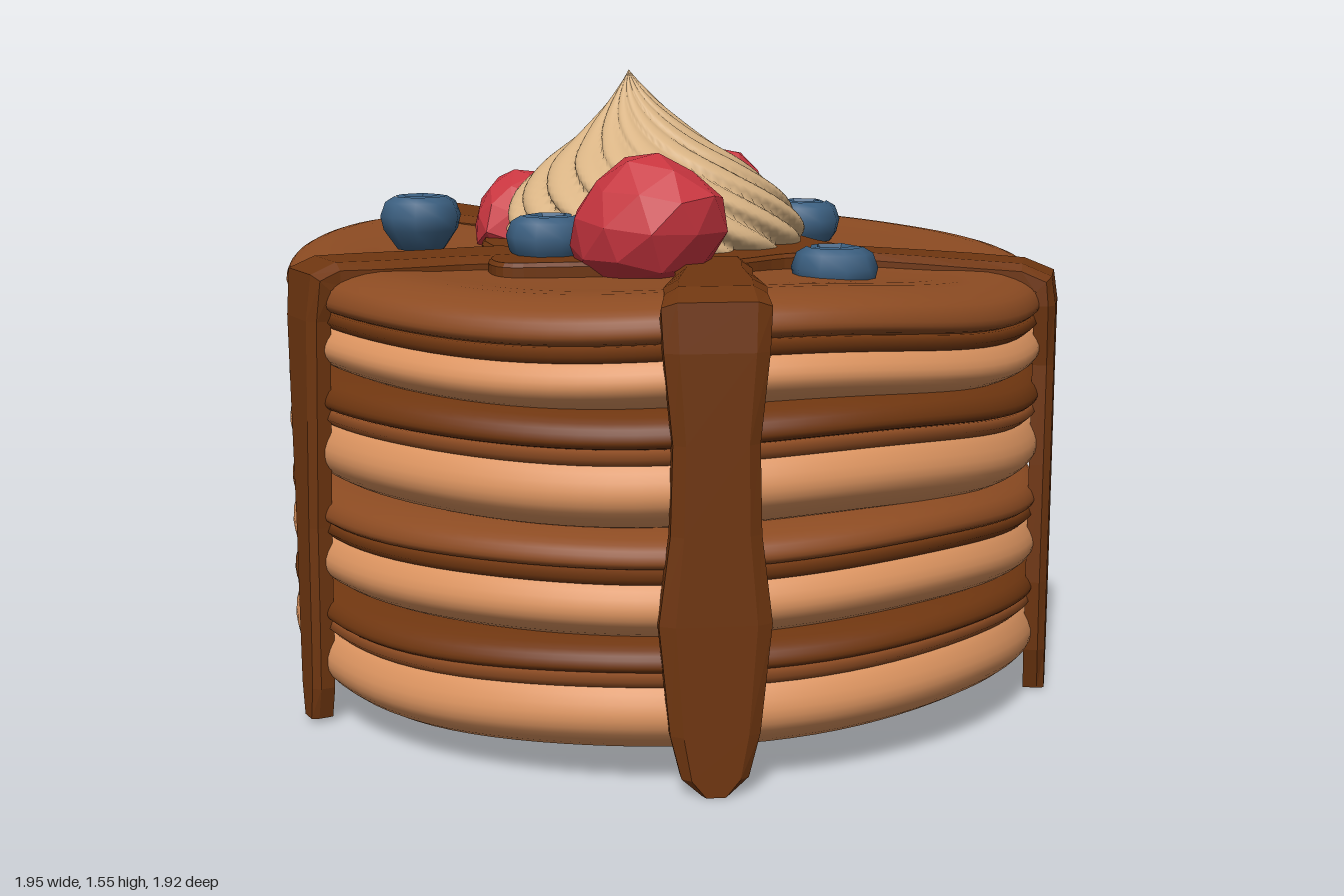
import * as THREE from 'three';
import { mergeVertices } from 'three/addons/utils/BufferGeometryUtils.js';

const material = (name, color) => {
  const m = new THREE.MeshStandardMaterial({ color });
  m.name = name;
  return m;
};
const V2 = (x, y) => new THREE.Vector2(x, y);
const CX = 0.015, CZ = 0.01; // axis of the stack

// Gentle height waves that grow towards the rim of each pancake
function wave(x, z, level) {
  const a = Math.atan2(x, z), r = Math.min(1, Math.hypot(x, z) / 0.96);
  return r * r * (0.016 * Math.sin(3 * a - 1.7 + level * 0.25) + 0.008 * Math.sin(5 * a + level)
    - 0.022 * (level / 3) * Math.sin(a));
}

// Moves every vertex by a rule, then rebuilds normals (smooth or faceted)
function deform(geometry, rule, smooth = true) {
  let g = geometry;
  g.deleteAttribute('uv');
  if (smooth) {
    g.deleteAttribute('normal');
    g = mergeVertices(g, 1e-4);
  } else if (g.index) g = g.toNonIndexed();
  const p = g.attributes.position, v = new THREE.Vector3();
  for (let i = 0; i < p.count; i++) {
    rule(v.fromBufferAttribute(p, i));
    p.setXYZ(i, v.x, v.y, v.z);
  }
  g.computeVertexNormals();
  return g;
}

function ring(points, level) {
  return deform(new THREE.LatheGeometry(points.map(([r, y]) => V2(r, y)), 96), v => {
    v.y += wave(v.x, v.z, level);
    v.x += CX;
    v.z += CZ;
  });
}

// Solid ribbon running over the top, bending at the rim and hanging down
function dripGeometry(start, end, topWidths, hang) {
  const out = new THREE.Vector3(end[0] - CX, 0, end[1] - CZ).normalize();
  const side = new THREE.Vector3(out.z, 0, -out.x);
  const up = new THREE.Vector3(0, 1, 0);
  const rim = [CX + out.x * 0.955, CZ + out.z * 0.955];
  const stations = [];
  for (let i = 0; i <= 5; i++) {
    const t = i / 5 * 0.93;
    const x = start[0] + (rim[0] - start[0]) * t, z = start[1] + (rim[1] - start[1]) * t;
    const w = topWidths[0] + (topWidths[1] - topWidths[0]) * t + 0.012 * Math.sin(i * 2.1);
    stations.push([new THREE.Vector3(x, 1.095 + wave(x - CX, z - CZ, 3), z), up, w]);
  }
  const edge = wave(out.x * 0.96, out.z * 0.96, 3);
  stations.push([new THREE.Vector3(rim[0], 1.08 + edge, rim[1]), up.clone().add(out).normalize(), topWidths[1]]);
  for (const [y, w] of hang) stations.push([new THREE.Vector3(rim[0], y, rim[1]), out, w]);

  const section = [[-0.5, -0.015], [-0.5, 0.02], [-0.36, 0.037], [0.36, 0.037], [0.5, 0.02], [0.5, -0.015]];
  const n = section.length, pos = [], idx = [];
  for (const [c, normal, w] of stations)
    for (const [s, h] of section) {
      const p = c.clone().addScaledVector(side, s * w).addScaledVector(normal, h);
      pos.push(p.x, p.y, p.z);
    }
  for (let i = 0; i < stations.length - 1; i++)
    for (let j = 0; j < n; j++) {
      const a = i * n + j, b = i * n + (j + 1) % n;
      idx.push(a, a + n, b, b, a + n, b + n);
    }
  const last = (stations.length - 1) * n;
  for (let j = 1; j < n - 1; j++) idx.push(0, j, j + 1, last, last + j + 1, last + j);
  const g = new THREE.BufferGeometry();
  g.setAttribute('position', new THREE.Float32BufferAttribute(pos, 3));
  g.setIndex(idx);
  const flat = g.toNonIndexed();
  flat.computeVertexNormals();
  return flat;
}

export function createModel() {
  const batter = material('batter', 0xdc9460);
  const crust = material('crust', 0x8c4b22);
  const sauce = material('sauce', 0x6f3610);
  const creamColour = material('cream', 0xd8b384);
  const red = material('strawberry red', 0xc8353f);
  const blue = material('blueberry blue', 0x3b5f80);
  sauce.side = THREE.DoubleSide;

  const model = new THREE.Group();
  const add = (name, geometry, mat, parent = model) => {
    const mesh = new THREE.Mesh(geometry, mat);
    mesh.name = name;
    parent.add(mesh);
    return mesh;
  };

  // Four pancakes: pale body, thin lip, browned top
  [[0.06, 0.255, 0.345], [0.325, 0.495, 0.59], [0.575, 0.765, 0.865], [0.845, 0.99, 1.1]].forEach(([y0, y1, y2], level) => {
    const pancake = new THREE.Group();
    pancake.name = 'pancake' + (level + 1);
    model.add(pancake);
    const h = y1 - y0;
    const body = new THREE.SplineCurve([
      V2(0.72, y0), V2(0.86, y0 + h * 0.1), V2(0.94, y0 + h * 0.35), V2(0.96, y0 + h * 0.62), V2(0.935, y0 + h * 0.92), V2(0.9, y1 + 0.01),
    ]).getPoints(16).map(p => [p.x, p.y]);
    add('body', ring([[0, y0], [0.25, y0], [0.5, y0], ...body], level), batter, pancake);
    const dark = level % 2 === 0;
    add('lip', ring([[0.88, y1 - 0.012], [0.935, y1 - 0.012], [0.953, y1 + 0.005], [0.945, y1 + 0.025], [0.9, y1 + 0.03]], level),
      dark ? crust : sauce, pancake);
    const k = y2 - y1;
    const top = new THREE.SplineCurve([
      V2(0.9, y1 + 0.015), V2(0.95, y1 + k * 0.3), V2(0.957, y1 + k * 0.55), V2(0.93, y1 + k * 0.88), V2(0.84, y2 + 0.012), V2(0.7, y2 + 0.005),
    ]).getPoints(16).map(p => [p.x, p.y]);
    add('brownedTop', ring([...top, [0.45, y2], [0.2, y2], [0, y2]], level), dark ? sauce : crust, pancake);
  });

  // Sauce puddle under the cream
  const outline = [[-0.02, -0.66], [0.07, -0.58], [0.12, -0.4], [0.33, -0.2], [0.45, -0.12], [0.49, 0], [0.43, 0.12],
    [0.38, 0.3], [0.22, 0.42], [0.06, 0.57], [-0.02, 0.63], [-0.1, 0.58], [-0.17, 0.45], [-0.38, 0.25], [-0.4, 0],
    [-0.39, -0.2], [-0.2, -0.38], [-0.12, -0.57]];
  const curve = new THREE.CatmullRomCurve3(outline.map(([x, z]) => new THREE.Vector3(x, -z, 0)), true);
  const puddle = new THREE.ExtrudeGeometry(new THREE.Shape(curve.getPoints(72).map(p => V2(p.x, p.y))),
    { depth: 0.03, bevelEnabled: true, bevelThickness: 0.01, bevelSize: 0.008, bevelSegments: 1 });
  puddle.rotateX(-Math.PI / 2).translate(0, 1.092, 0);
  add('saucePuddle', puddle, sauce);

  // Sauce drips: start, end, widths on top, then [height, width] down the side
  const drips = [
    [[-0.13, -0.42], [-0.31, -0.95], [0.18, 0.17], [[1, 0.15], [0.8, 0.13], [0.55, 0.12], [0.3, 0.14], [0.12, 0.12], [0.02, 0.06]]],
    [[0.3, -0.06], [0.95, -0.36], [0.17, 0.19], [[1, 0.19], [0.85, 0.14], [0.6, 0.15], [0.3, 0.16], [0.12, 0.13], [0.01, 0.06]]],
    [[0.32, 0.26], [0.66, 0.77], [0.16, 0.24], [[1, 0.23], [0.8, 0.19], [0.6, 0.2], [0.4, 0.25], [0.15, 0.2], [0.05, 0.15], [0.01, 0.06]]],
    [[-0.16, 0.4], [-0.44, 0.9], [0.24, 0.21], [[1, 0.18], [0.75, 0.15], [0.5, 0.12], [0.25, 0.11], [0.1, 0.1], [0.02, 0.06]]],
    [[-0.33, -0.15], [-0.97, -0.14], [0.18, 0.27], [[1, 0.23], [0.8, 0.18], [0.55, 0.19], [0.35, 0.22], [0.2, 0.19], [0.12, 0.11]]],
  ];
  for (const d of drips) add('sauceDrip', dripGeometry(...d), sauce);

  // Piped cream swirl with twisted scallops and an off-centre tip
  const creamProfile = new THREE.SplineCurve([V2(0.35, 1.1), V2(0.385, 1.16), V2(0.35, 1.24), V2(0.265, 1.32),
    V2(0.165, 1.39), V2(0.085, 1.46), V2(0.03, 1.52), V2(0, 1.56)]).getPoints(36);
  creamProfile[36].x = 0;
  const swirl = deform(new THREE.LatheGeometry(creamProfile, 168), v => {
    const t = (v.y - 1.1) / 0.46, a = Math.atan2(v.x, v.z);
    let f = (14 * (a + 2.3 * t) / (2 * Math.PI)) % 1;
    if (f < 0) f += 1;
    const s = 1 - 0.13 * Math.pow(Math.abs(2 * f - 1), 3);
    v.x = v.x * s - 0.01 - 0.08 * Math.pow(t, 0.8);
    v.z = v.z * s - 0.01 + 0.03 * t;
  });
  add('creamSwirl', swirl, creamColour);

  // Faceted strawberries: centre, half sizes, tilt
  [[[0.21, 1.22, 0.39], [0.2, 0.16, 0.165], 0.35, 0],
    [[-0.37, 1.18, 0.1], [0.125, 0.12, 0.155], 0.1, 0.2],
    [[-0.1, 1.2, -0.44], [0.135, 0.14, 0.125], 0, 0.1]].forEach(([c, s, rz, rx], k) => {
    const g = deform(new THREE.IcosahedronGeometry(1, 1), v => {
      const bump = 1 + 0.07 * Math.sin(v.x * 7 + k * 2) * Math.cos(v.z * 6 + v.y * 4 + k);
      const taper = 1 - 0.16 * v.y;
      v.set(v.x * s[0] * taper, v.y * s[1], v.z * s[2] * taper).multiplyScalar(bump);
    }, false);
    const berry = add('strawberry', g, red);
    berry.position.set(...c);
    berry.rotation.set(rx, 0, rz);
  });

  // Blueberries with a five-sided sunken crown
  const bodyGeo = deform(new THREE.LatheGeometry([[0, -0.08], [0.06, -0.07], [0.095, -0.02], [0.103, 0.015], [0.09, 0.05], [0.066, 0.064]]
    .map(p => V2(...p)), 10), () => {});
  const crownGeo = deform(new THREE.LatheGeometry([[0.07, 0.062], [0.05, 0.066], [0.032, 0.045], [0, 0.04]]
    .map(p => V2(...p)), 5), () => {}, false);
  [[-0.39, 1.14, -0.42], [0.17, 1.14, -0.42], [0.59, 1.1, 0.15], [-0.46, 1.185, 0.41], [-0.05, 1.16, 0.42]].forEach((c, i) => {
    const berry = new THREE.Group();
    berry.name = 'blueberry';
    add('berryBody', bodyGeo, blue, berry);
    add('berryCrown', crownGeo, blue, berry);
    berry.position.set(...c);
    berry.rotation.y = i * 0.4;
    model.add(berry);
  });

  return model;
}
